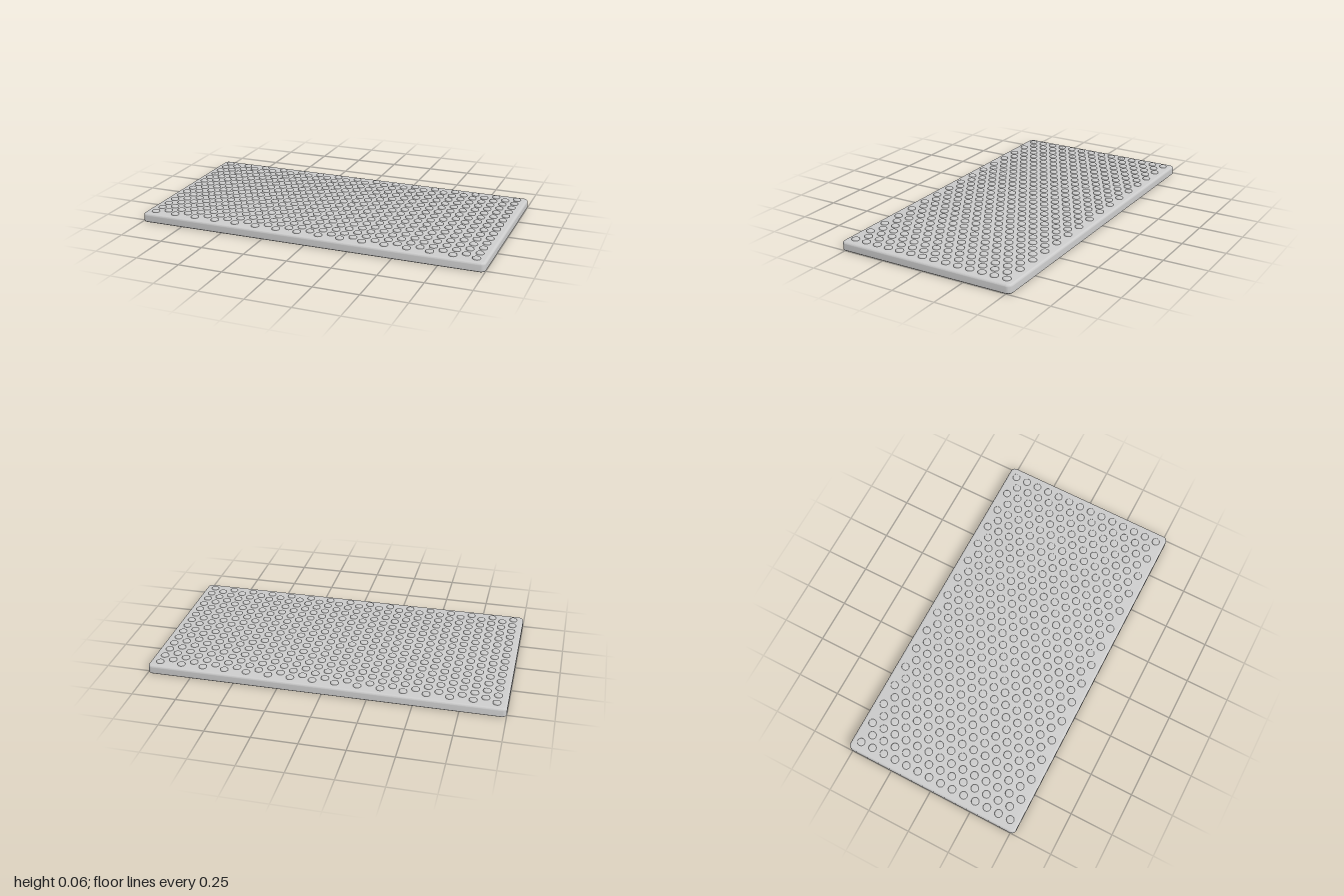
import * as THREE from 'three';
import { mergeGeometries, toCreasedNormals } from 'three/addons/utils/BufferGeometryUtils.js';

const HALF_X = 1, HALF_Z = 0.525, CORNER = 0.028, TOP = 0.05;

// Rounded rectangle outline as [x, z] points, shrunk by inset
function outline(inset, steps = 6) {
  const r = CORNER - inset, cx = HALF_X - CORNER, cz = HALF_Z - CORNER;
  const points = [];
  [[1, 1], [-1, 1], [-1, -1], [1, -1]].forEach(([sx, sz], quarter) => {
    for (let i = 0; i <= steps; i++) {
      const a = (quarter + i / steps) * Math.PI / 2;
      points.push([sx * cx + r * Math.cos(a), sz * cz + r * Math.sin(a)]);
    }
  });
  return points;
}

// Slab from stacked outlines, rounded along the top rim
function slabGeometry() {
  const levels = [[0.003, 0], [0, 0.003]];
  const round = 0.013, arc = 5;
  for (let i = 0; i <= arc; i++) {
    const a = i / arc * Math.PI / 2;
    levels.push([round * (1 - Math.cos(a)), TOP - round + round * Math.sin(a)]);
  }
  const positions = [], index = [];
  const n = outline(0).length;
  for (const [inset, y] of levels) {
    for (const [x, z] of outline(inset)) positions.push(x, y, z);
  }
  for (let l = 0; l < levels.length - 1; l++) {
    for (let i = 0; i < n; i++) {
      const a = l * n + i, b = l * n + (i + 1) % n;
      index.push(a, a + n, b, b, a + n, b + n);
    }
  }
  // Flat bottom and top
  const bottom = levels.length * n, top = bottom + 1, last = (levels.length - 1) * n;
  positions.push(0, 0, 0, 0, TOP, 0);
  for (let i = 0; i < n; i++) {
    const j = (i + 1) % n;
    index.push(bottom, i, j, top, last + j, last + i);
  }
  const geometry = new THREE.BufferGeometry();
  geometry.setAttribute('position', new THREE.Float32BufferAttribute(positions, 3));
  geometry.setIndex(index);
  return toCreasedNormals(geometry, Math.PI / 6);
}

// Low round studs in staggered columns
function studsGeometry() {
  const profile = [[0.022, 0.049], [0.022, 0.053], [0.0205, 0.057], [0.0175, 0.0593], [0.014, 0.06], [0, 0.06]];
  const stud = new THREE.LatheGeometry(profile.map(([r, y]) => new THREE.Vector2(r, y)), 18);
  const columns = 31, rows = 14, endX = 0.942, endZ = 0.471;
  const stepX = 2 * endX / (columns - 1), stepZ = 2 * endZ / (rows - 1);
  const studs = [];
  for (let c = 0; c < columns; c++) {
    const odd = c % 2;
    for (let r = 0; r < rows - odd; r++) {
      studs.push(stud.clone().translate(-endX + c * stepX, 0, -endZ + (r + odd / 2) * stepZ));
    }
  }
  return mergeGeometries(studs);
}

export function createModel() {
  const group = new THREE.Group();
  group.name = 'studdedMat';
  const material = new THREE.MeshStandardMaterial({ color: 0xcccccc });
  const add = (name, geometry) => {
    const mesh = new THREE.Mesh(geometry, material);
    mesh.name = name;
    group.add(mesh);
  };
  add('matBase', slabGeometry());
  add('studs', studsGeometry());
  return group;
}
